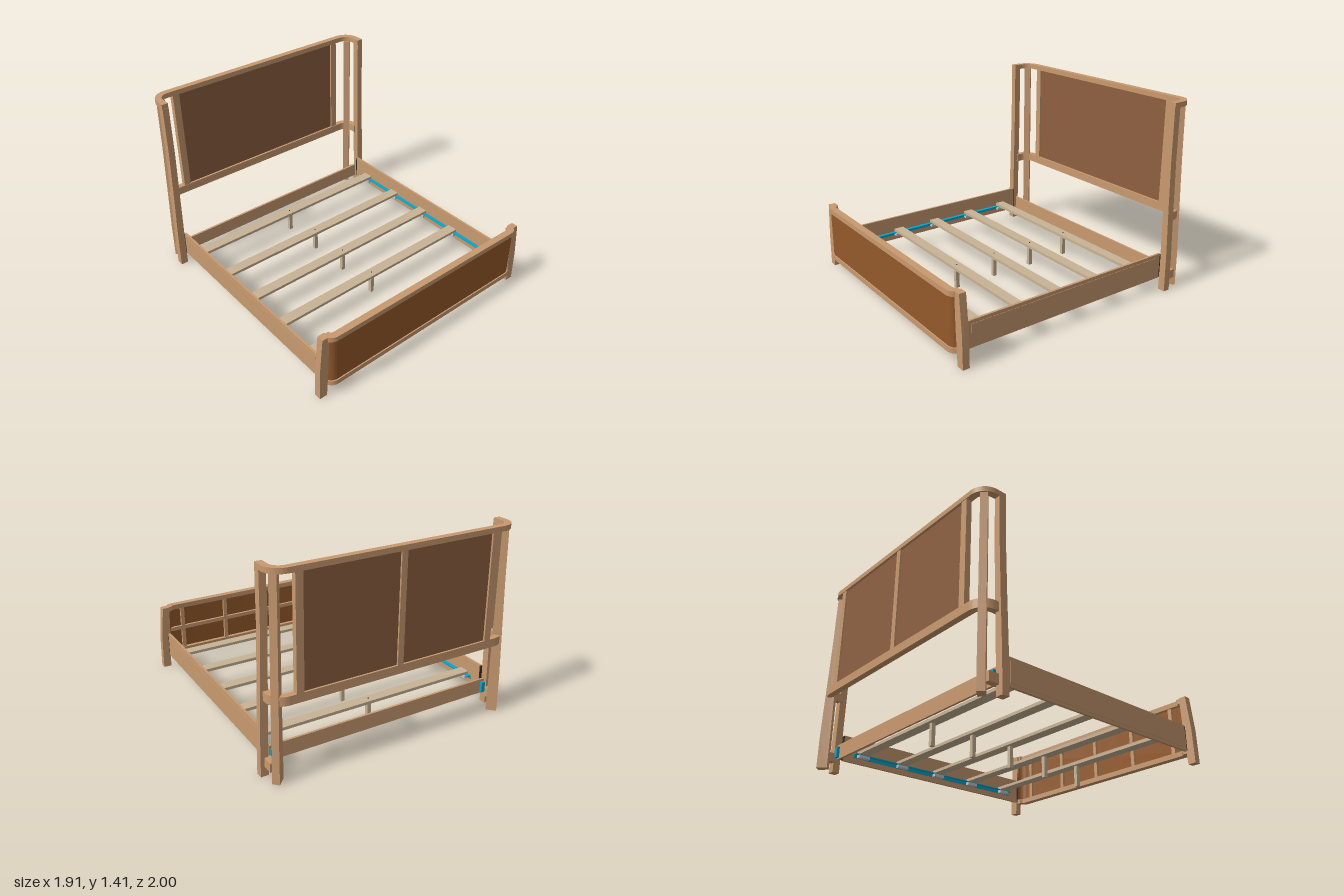
import * as THREE from 'three';
import { toCreasedNormals } from 'three/addons/utils/BufferGeometryUtils.js';

const mat = (name, color) => {
  const m = new THREE.MeshStandardMaterial({ color });
  m.name = name;
  return m;
};

export function createModel() {
  const wood = mat('oak wood', 0xc8996f);
  const headPanelMat = mat('headboard panel brown', 0x8d5f41);
  const footPanelMat = mat('footboard panel brown', 0x945a2a);
  const slatMat = mat('pale slat wood', 0xc8b496);
  const blue = mat('blue steel', 0x06a5cc);
  const grey = mat('grey steel', 0xc4c6c8);
  const dark = mat('dark steel', 0x34302c);

  const model = new THREE.Group();
  model.name = 'bed';
  const group = (name) => {
    const g = new THREE.Group();
    g.name = name;
    model.add(g);
    return g;
  };
  const add = (parent, name, geo, material) => {
    const m = new THREE.Mesh(geo, material);
    m.name = name;
    parent.add(m);
    return m;
  };
  // Box given by its limits on each axis
  const box = (parent, name, material, x0, x1, y0, y1, z0, z1) => {
    const g = new THREE.BoxGeometry(Math.abs(x1 - x0), y1 - y0, z1 - z0);
    g.translate((x0 + x1) / 2, (y0 + y1) / 2, (z0 + z1) / 2);
    return add(parent, name, g, material);
  };
  // U-shaped band seen from above: half width w, from depth s to e, corner radius r, thickness t
  const band = (w, s, e, r, t, y0, y1) => {
    const p = new THREE.Shape();
    const c = w - r, d = e - r;
    p.moveTo(w, s);
    p.lineTo(w, d);
    p.absarc(c, d, r, 0, Math.PI / 2, false);
    p.lineTo(-c, e);
    p.absarc(-c, d, r, Math.PI / 2, Math.PI, false);
    p.lineTo(-w, s);
    p.lineTo(-w + t, s);
    p.lineTo(-w + t, d);
    p.absarc(-c, d, r - t, Math.PI, Math.PI / 2, true);
    p.lineTo(c, e - t);
    p.absarc(c, d, r - t, Math.PI / 2, 0, true);
    p.lineTo(w - t, s);
    p.closePath();
    const g = new THREE.ExtrudeGeometry(p, { depth: y1 - y0, bevelEnabled: false, curveSegments: 12 });
    g.rotateX(-Math.PI / 2).translate(0, y0, 0);
    return toCreasedNormals(g, 0.5);
  };
  // Flared post: outline in x and y, given thickness along z
  const post = (points, thick) => {
    const s = new THREE.Shape(points.map(([x, y]) => new THREE.Vector2(x, y)));
    const g = new THREE.ExtrudeGeometry(s, { depth: thick, bevelEnabled: false });
    g.translate(0, 0, -thick / 2);
    return toCreasedNormals(g, 0.5);
  };
  const sides = [[1, 'left'], [-1, 'right']];

  // Headboard: curved rails, panel and stiles
  const head = group('headboard');
  add(head, 'headTopRail', band(0.925, 0.81, 1.0, 0.12, 0.048, 1.375, 1.412), wood);
  add(head, 'headMiddleRail', band(0.922, 0.84, 0.996, 0.116, 0.045, 0.54, 0.602), wood);
  box(head, 'headPanel', headPanelMat, -0.715, 0.715, 0.6, 1.376, -0.982, -0.968);
  box(head, 'headBackStile', wood, -0.022, 0.022, 0.6, 1.376, -0.995, -0.981);
  box(head, 'headCrossRail', wood, -0.885, 0.885, 0.09, 0.2, -0.846, -0.83);

  // Headboard posts: leaning front post and diagonal corner post
  const frontPost = post([
    [0.897, 0], [0.953, 0], [0.95, 0.26], [0.936, 0.65], [0.926, 1.0], [0.924, 1.376],
    [0.877, 1.376], [0.878, 1.0], [0.886, 0.65], [0.895, 0.26],
  ], 0.052);
  const cornerPost = post([
    [0, 0], [0.076, 0], [0.074, 0.26], [0.062, 0.65], [0.052, 1.0], [0.046, 1.376], [0, 1.376],
  ], 0.05);
  for (const [s, side] of sides) {
    const f = add(head, side + 'HeadFrontPost', frontPost, wood);
    f.position.z = -0.834;
    f.rotation.y = s > 0 ? 0 : Math.PI;
    const c = add(head, side + 'HeadCornerPost', cornerPost, wood);
    c.position.set(s * 0.853, 0, -0.923);
    c.rotation.y = s > 0 ? Math.PI / 4 : 3 * Math.PI / 4;
    box(head, side + 'HeadStile', wood, s * 0.71, s * 0.762, 0.6, 1.376, -0.996, -0.955);
    box(head, side + 'HeadLowerBlock', wood, s * 0.88, s * 0.925, 0.07, 0.135, -0.935, -0.85);
    box(head, side + 'HeadBracket', blue, s * 0.85, s * 0.88, 0.1, 0.18, -0.866, -0.846);
  }

  // Footboard: curved rails and wrapped panel, turned to face the front
  const foot = group('footboard');
  const footBand = (name, material, ...a) => {
    add(foot, name, band(...a), material).rotation.y = Math.PI;
  };
  footBand('footTopRail', wood, 0.897, 0.925, 0.997, 0.075, 0.05, 0.47, 0.507);
  footBand('footBottomRail', wood, 0.897, 0.925, 0.997, 0.075, 0.05, 0.085, 0.122);
  footBand('footPanel', footPanelMat, 0.89, 0.93, 0.988, 0.068, 0.012, 0.12, 0.472);
  for (let i = -2; i <= 2; i++) {
    const x = i * 0.375;
    box(foot, 'footBackStile', wood, x - 0.015, x + 0.015, 0.12, 0.472, 0.955, 0.977);
  }
  box(foot, 'footBackMiddleRail', wood, -0.85, 0.85, 0.28, 0.31, 0.956, 0.977);
  const footPost = post([
    [0.894, 0], [0.953, 0], [0.949, 0.24], [0.925, 0.507], [0.872, 0.507], [0.88, 0.24],
  ], 0.05);
  for (const [s, side] of sides) {
    const p = add(foot, side + 'FootPost', footPost, wood);
    p.position.z = 0.94;
    p.rotation.y = s > 0 ? 0 : Math.PI;
  }

  // Side rails with raised field, end plates and slat ledges
  const frame = group('frame');
  const slatZ = [-0.64, -0.295, 0.05, 0.39, 0.735];
  for (const [s, side] of sides) {
    box(frame, side + 'SideRail', wood, s * 0.88, s * 0.897, 0.095, 0.287, -0.8, 0.91);
    box(frame, side + 'SideRailField', wood, s * 0.896, s * 0.9, 0.12, 0.262, -0.75, 0.86);
    for (const z of [-0.806, 0.91]) {
      box(frame, side + 'RailEndPlate', dark, s * 0.878, s * 0.898, 0.1, 0.282, z, z + 0.007);
    }
    box(frame, side + 'LedgeTop', blue, s * 0.85, s * 0.88, 0.158, 0.165, -0.71, 0.81);
    box(frame, side + 'LedgeSide', blue, s * 0.874, s * 0.88, 0.135, 0.165, -0.71, 0.81);
    for (const z of slatZ) {
      box(frame, side + 'SlatBracket', grey, s * 0.842, s * 0.874, 0.135, 0.157, z - 0.045, z + 0.045);
    }
  }

  // Slats with centre legs and screw heads
  for (const z of slatZ) {
    box(frame, 'slat', slatMat, -0.88, 0.88, 0.165, 0.187, z - 0.04, z + 0.04);
    box(frame, 'slatLeg', slatMat, -0.014, 0.014, 0.005, 0.166, z - 0.015, z + 0.015);
    add(frame, 'slatScrew', new THREE.CylinderGeometry(0.005, 0.005, 0.003, 10), dark).position.set(0, 0.188, z);
  }
  return model;
}
